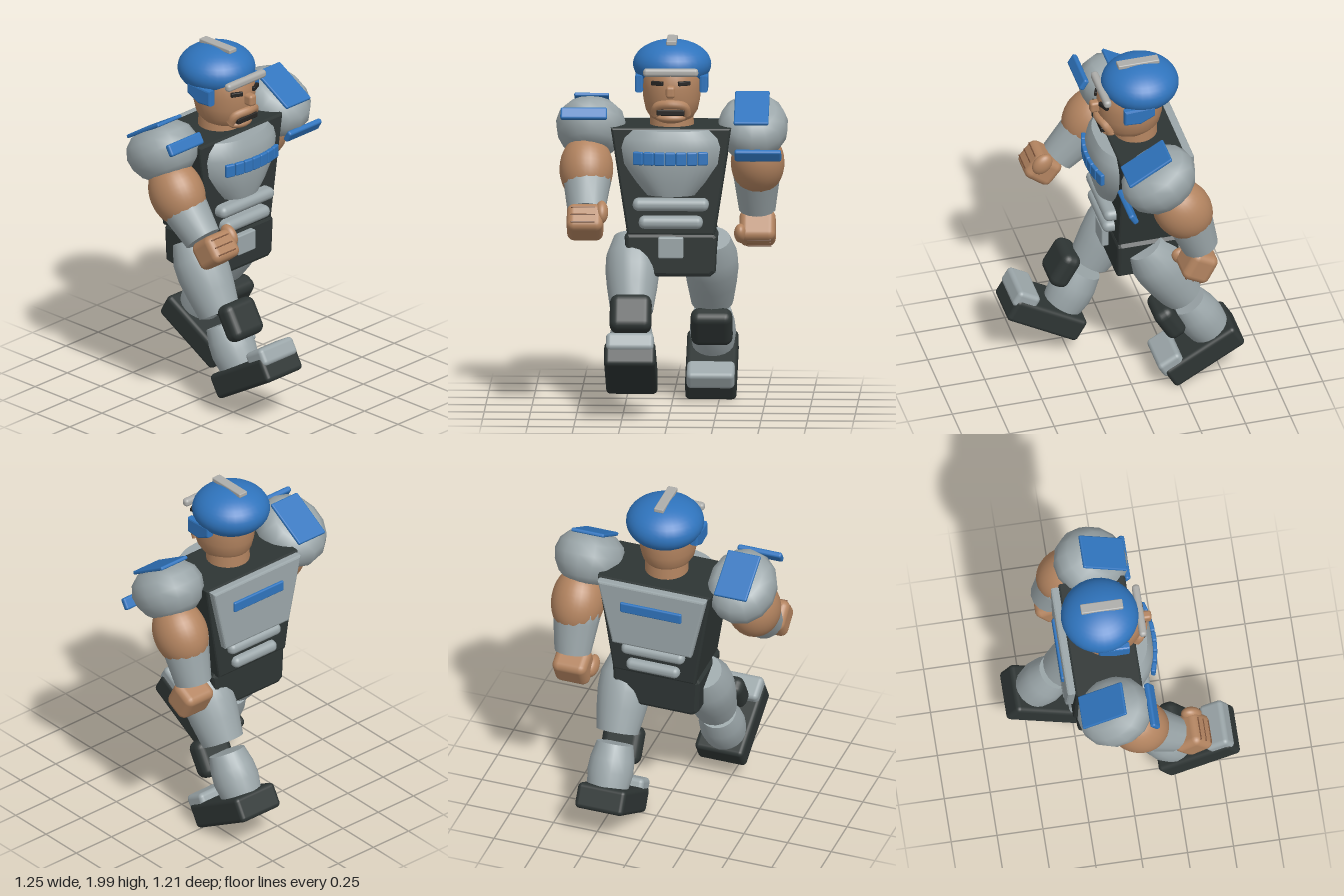
import * as THREE from 'three';
import { toCreasedNormals } from 'three/addons/utils/BufferGeometryUtils.js';
import { RoundedBoxGeometry } from 'three/addons/geometries/RoundedBoxGeometry.js';

const material = (name, color) => {
  const m = new THREE.MeshStandardMaterial({ color });
  m.name = name;
  return m;
};
const armour = material('grey armour', 0x9ba6a9);
const trim = material('pale trim', 0xadadaa);
const dark = material('dark suit', 0x2e3534);
const blue = material('blue', 0x2f74bd);
const skin = material('skin', 0xb38460);
const crease = material('skin crease', 0x7a5239);
const black = material('eye black', 0x262422);

function add(parent, name, geo, mat, x = 0, y = 0, z = 0) {
  const m = new THREE.Mesh(geo, mat);
  m.name = name;
  m.position.set(x, y, z);
  parent.add(m);
  return m;
}
const block = (w, h, d, r = 0.02) => new RoundedBoxGeometry(w, h, d, 3, r);
const ball = (rx, ry, rz) => new THREE.SphereGeometry(1, 32, 20).scale(rx, ry, rz);
const lathe = (pts, sides, sx = 1, sz = 1) => toCreasedNormals(
  new THREE.LatheGeometry(pts.map(p => new THREE.Vector2(...p)), sides).scale(sx, 1, sz), 0.85);

// Bevelled prism between z0 and z1 from an outline in x and y
function prism(pts, z0, z1, bevel = 0.012) {
  const shape = new THREE.Shape(pts.map(p => new THREE.Vector2(...p)));
  const geo = new THREE.ExtrudeGeometry(shape, {
    depth: z1 - z0 - 2 * bevel, bevelThickness: bevel, bevelSize: bevel, bevelOffset: -bevel, bevelSegments: 2,
  });
  return geo.translate(0, 0, z0 + bevel);
}
const trapezoid = (bottom, top, y0, y1) => [[-bottom, y0], [bottom, y0], [top, y1], [-top, y1]];

// Bowed breastplate lofted through rows of [y, half width, depth]
const chestZ = (s, depth) => 0.05 + depth * (1 - Math.abs(s) ** 3);
function chestGeometry() {
  const rows = [[1.17, 0.14, 0], [1.17, 0.14, 0.08], [1.24, 0.2, 0.1], [1.34, 0.27, 0.115],
    [1.43, 0.285, 0.115], [1.48, 0.27, 0.105], [1.525, 0.225, 0.085], [1.525, 0.225, 0]];
  const n = 16, pos = [], index = [];
  rows.forEach(([y, w, d], i) => {
    for (let j = 0; j <= n; j++) {
      const s = (j / n) * 2 - 1;
      pos.push(w * s, y, chestZ(s, d));
      if (i && j) {
        const c = i * (n + 1) + j, a = c - n - 1;
        index.push(a - 1, a, c - 1, a, c, c - 1);
      }
    }
  });
  const geo = new THREE.BufferGeometry();
  geo.setAttribute('position', new THREE.Float32BufferAttribute(pos, 3));
  geo.setIndex(index);
  return toCreasedNormals(geo, 0.6);
}

function makeTorso() {
  const g = new THREE.Group();
  g.name = 'torso';
  add(g, 'trunk', prism(trapezoid(0.235, 0.325, 0.95, 1.535), -0.295, 0.07), dark);
  add(g, 'pelvis', prism([[-0.21, 0.725], [0.21, 0.725], [0.24, 0.75], [0.25, 0.94], [0.235, 0.96],
    [-0.235, 0.96], [-0.25, 0.94], [-0.24, 0.75]], -0.27, 0.075, 0.02), dark);
  add(g, 'breastplate', chestGeometry(), armour);
  add(g, 'backPlate', prism(trapezoid(0.225, 0.31, 1.15, 1.53), -0.338, -0.285), armour);
  add(g, 'backStripe', block(0.35, 0.06, 0.03, 0.008), blue, 0, 1.4, -0.337);
  // Row of cells following the curve of the chest
  for (let i = -3; i <= 3; i++) {
    const x = i * 0.058;
    const cell = add(g, 'chestCell', block(0.056, 0.072, 0.025, 0.008), blue, x, 1.382, 0.178 - x * x * 0.85);
    cell.rotation.y = x * 1.6;
  }
  // Stomach and lower back ribs
  for (const [y, w] of [[1.122, 0.41], [1.025, 0.345]]) {
    add(g, 'frontRib', block(w, 0.068, 0.1, 0.032), armour, 0, y, 0.085);
    add(g, 'backRib', block(w * 0.88, 0.065, 0.08, 0.03), armour, 0, y - 0.01, -0.295);
  }
  add(g, 'buckle', block(0.135, 0.115, 0.04, 0.008), armour, 0, 0.888, 0.095);
  return g;
}

function makeHead() {
  const g = new THREE.Group();
  g.name = 'head';
  add(g, 'neck', new THREE.CylinderGeometry(0.115, 0.12, 0.12, 28), skin, 0, 1.56, -0.09);
  add(g, 'face', lathe([[0, 1.555], [0.08, 1.56], [0.115, 1.58], [0.14, 1.62], [0.153, 1.68],
    [0.158, 1.75], [0.155, 1.81], [0.13, 1.87], [0, 1.9]], 32, 1, 1.15), skin, 0, 0, -0.06);
  add(g, 'helmet', ball(0.211, 0.133, 0.21), blue, 0, 1.858, -0.116);
  add(g, 'crest', block(0.055, 0.025, 0.23, 0.006), trim, 0, 1.9875, -0.105);
  add(g, 'browBand', block(0.297, 0.045, 0.042, 0.018), trim, 0, 1.842, 0.1);
  add(g, 'nose', block(0.05, 0.065, 0.06, 0.016), skin, 0, 1.742, 0.135);
  // Raised lip arched over the mouth
  const lip = new THREE.CatmullRomCurve3([[-0.085, 1.61, 0.07], [-0.075, 1.655, 0.095], [0, 1.672, 0.12],
    [0.075, 1.655, 0.095], [0.085, 1.61, 0.07]].map(p => new THREE.Vector3(...p)));
  add(g, 'upperLip', new THREE.TubeGeometry(lip, 20, 0.024, 10), skin);
  add(g, 'chin', ball(0.08, 0.03, 0.05), skin, 0, 1.59, 0.06);
  add(g, 'mouth', block(0.15, 0.03, 0.03, 0.005), black, 0, 1.625, 0.107);
  for (const s of [-1, 1]) {
    const eye = add(g, 'eye', block(0.068, 0.024, 0.02, 0.004), black, s * 0.072, 1.784, 0.105);
    eye.rotation.y = s * 0.45;
    const ear = add(g, 'earGuard', prism([[-0.02, 1.81], [-0.02, 1.722], [0.07, 1.717], [0.15, 1.758], [0.15, 1.818]],
      -0.022, 0.022, 0.01), blue, s * 0.174, 0, 0);
    ear.rotation.y = Math.PI / 2;
  }
  return g;
}

function makeArm(s, swing, fistTurn) {
  const g = new THREE.Group();
  g.name = s > 0 ? 'leftArm' : 'rightArm';
  g.position.set(s * 0.437, 1.52, -0.1);
  g.rotation.x = swing;
  add(g, 'shoulder', lathe([[0, -0.15], [0.12, -0.145], [0.165, -0.11], [0.2, -0.05], [0.21, 0.01],
    [0.19, 0.07], [0.14, 0.115], [0.07, 0.125], [0, 0.125]], 14, 0.91, 1.02), armour);
  add(g, 'shoulderTopPlate', block(0.187, 0.02, 0.275, 0.008), blue, -s * 0.005, 0.128, 0);
  add(g, 'shoulderFrontPlate', block(0.252, 0.068, 0.032, 0.012), blue, s * 0.032, -0.02, 0.22);
  add(g, 'upperArm', ball(0.145, 0.19, 0.155), skin, s * 0.02, -0.25, 0);
  const fore = add(g, 'forearm', lathe([[0, -0.15], [0.1, -0.15], [0.125, 0.03], [0.135, 0.09],
    [0.095, 0.15], [0, 0.15]], 14), armour, s * 0.015, -0.385, 0.018);
  fore.rotation.x = -0.227;

  // Fist with finger creases and a thumb on the inner side
  const fist = new THREE.Group();
  fist.name = 'fist';
  fist.position.set(s * 0.017, -0.61, 0.12);
  fist.rotation.x = fistTurn;
  add(fist, 'hand', block(0.195, 0.16, 0.175, 0.04), skin);
  for (let i = -1; i <= 1; i++) add(fist, 'fingerCrease', block(0.13, 0.007, 0.008, 0.002), crease, s * 0.01, i * 0.045, 0.086);
  add(fist, 'thumb', ball(0.035, 0.065, 0.05), skin, -s * 0.09, 0.038, 0.045);
  g.add(fist);
  return g;
}

function makeLeg(s, swing) {
  const g = new THREE.Group();
  g.name = s > 0 ? 'leftLeg' : 'rightLeg';
  g.position.set(s * 0.21, 0.89, -0.092);
  g.rotation.x = swing;
  add(g, 'thigh', lathe([[0, -0.4], [0.115, -0.4], [0.135, -0.27], [0.146, -0.17], [0.142, -0.08],
    [0.105, 0.025], [0, 0.025]], 20), armour);
  add(g, 'shin', lathe([[0, -0.72], [0.11, -0.72], [0.125, -0.62], [0.12, -0.55], [0.1, -0.465], [0, -0.465]], 20), armour);
  add(g, 'kneePad', block(0.225, 0.21, 0.115, 0.045), dark, 0, -0.472, 0.14);
  add(g, 'boot', block(0.276, 0.14, 0.45, 0.025), dark, -s * 0.005, -0.768, 0.1);
  add(g, 'toeCap', block(0.258, 0.1, 0.14, 0.025), armour, -s * 0.005, -0.7, 0.27);
  return g;
}

export function createModel() {
  const model = new THREE.Group();
  model.name = 'marchingTrooper';
  const arm = 0.54, leg = Math.PI / 6;
  // Left limbs swing back, right limbs swing forward
  model.add(makeTorso(), makeHead(), makeArm(1, arm, 0.54), makeArm(-1, -arm, -0.12), makeLeg(1, leg), makeLeg(-1, -leg));
  return model;
}
